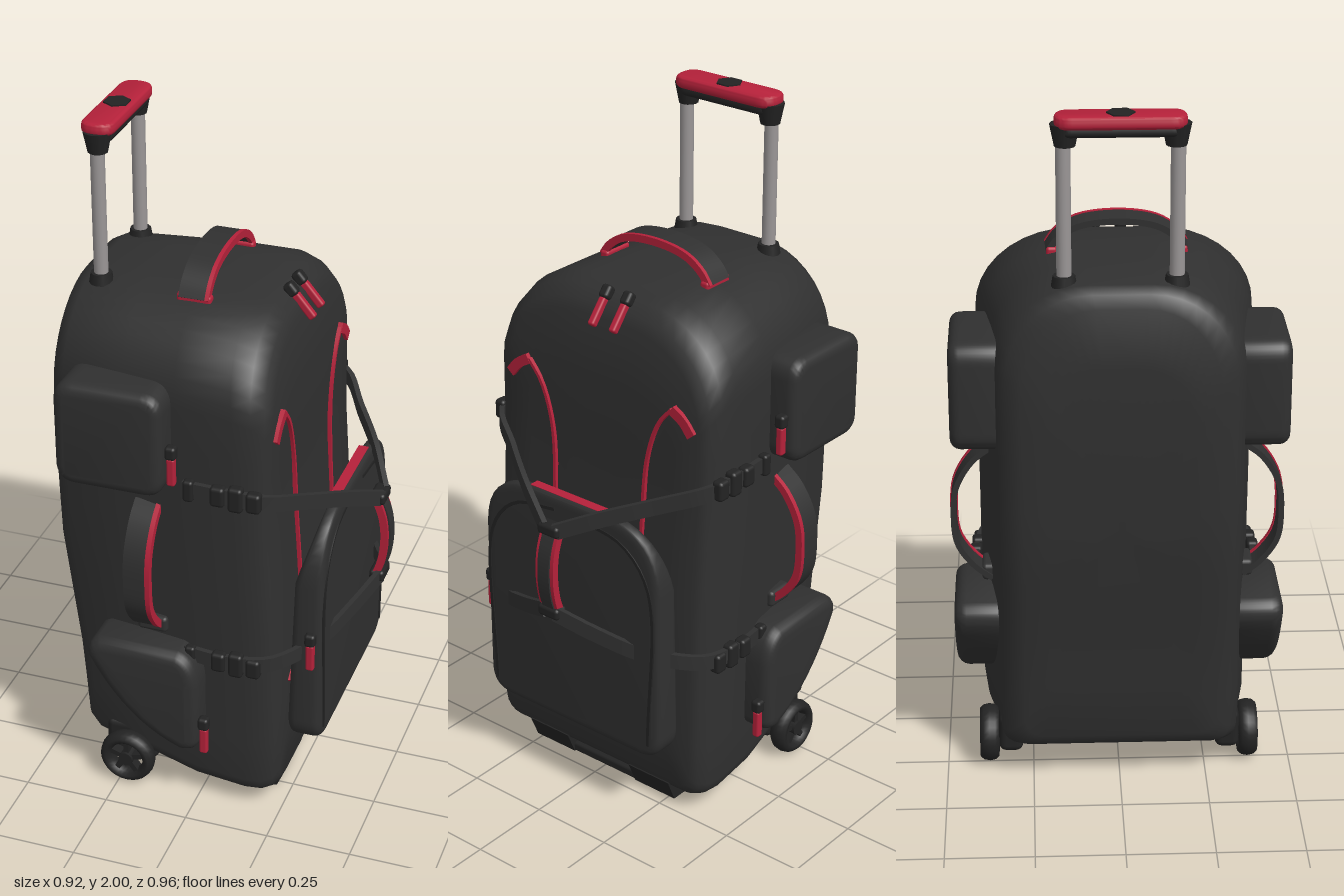
import * as THREE from 'three';
import { toCreasedNormals } from 'three/addons/utils/BufferGeometryUtils.js';
import { RoundedBoxGeometry } from 'three/addons/geometries/RoundedBoxGeometry.js';

const V = (x, y, z) => new THREE.Vector3(x, y, z);
const X = V(1, 0, 0), Y = V(0, 1, 0), Z = V(0, 0, 1);
const material = (name, color) => Object.assign(new THREE.MeshStandardMaterial({ color }), { name });

// Piecewise linear lookup in [key, value] pairs
function lerpTable(t, k) {
  let i = 1;
  while (i < t.length - 1 && k > t[i][0]) i++;
  const f = THREE.MathUtils.clamp((k - t[i - 1][0]) / (t[i][0] - t[i - 1][0]), 0, 1);
  return t[i - 1][1] + f * (t[i][1] - t[i - 1][1]);
}
const backX = y => lerpTable([[0.1, -0.38], [0.4, -0.4], [0.8, -0.45], [1.2, -0.46], [1.54, -0.445]], y);
const frontX = y => lerpTable([[0.05, 0.235], [0.2, 0.245], [0.6, 0.235], [1, 0.21], [1.3, 0.208], [1.54, 0.18]], y);

// Closed skin through equal-length loops of points, with fan caps
function loft(loops, crease) {
  const n = loops[0].length, pos = [], idx = [];
  loops.forEach(l => l.forEach(p => pos.push(p.x, p.y, p.z)));
  const mid = l => { const c = V(0, 0, 0); l.forEach(p => c.add(p)); c.divideScalar(n); pos.push(c.x, c.y, c.z); };
  mid(loops[0]);
  mid(loops[loops.length - 1]);
  const c0 = loops.length * n, last = c0 - n;
  for (let i = 0; i < n; i++) {
    const j = (i + 1) % n;
    for (let s = 0; s < last; s += n) idx.push(s + i, s + n + i, s + n + j, s + i, s + n + j, s + j);
    idx.push(c0, i, j, c0 + 1, last + j, last + i);
  }
  const g = new THREE.BufferGeometry();
  g.setAttribute('position', new THREE.Float32BufferAttribute(pos, 3));
  g.setIndex(idx);
  return toCreasedNormals(g, crease);
}

// Flat webbing along a smooth path; width runs along the up hint
function ribbon(points, width, thick, up, steps = 24) {
  const curve = new THREE.CatmullRomCurve3(points), loops = [];
  for (let i = 0; i <= steps; i++) {
    const p = curve.getPointAt(i / steps), t = curve.getTangentAt(i / steps);
    const w = t.clone().cross(up).normalize(), s = w.clone().cross(t);
    loops.push([[1, -1], [1, 1], [-1, 1], [-1, -1]].map(([a, b]) =>
      p.clone().addScaledVector(w, a * thick / 2).addScaledVector(s, b * width / 2)));
  }
  return loft(loops, 0.6);
}

// Padded plate from an outline, with rounded rims
function padded(shape, depth, bevel) {
  const g = new THREE.ExtrudeGeometry(shape, { depth: depth - 2 * bevel, bevelThickness: bevel, bevelSize: bevel, bevelOffset: -bevel, bevelSegments: 4, curveSegments: 10 });
  return toCreasedNormals(g.translate(0, 0, bevel), 0.7);
}

function roundRect(x0, y0, x1, y1, rb, rt) {
  const s = new THREE.Shape();
  s.moveTo(x0 + rb, y0).lineTo(x1 - rb, y0).quadraticCurveTo(x1, y0, x1, y0 + rb).lineTo(x1, y1 - rt);
  s.quadraticCurveTo(x1, y1, x1 - rt, y1).lineTo(x0 + rt, y1).quadraticCurveTo(x0, y1, x0, y1 - rt);
  return s.lineTo(x0, y0 + rb).quadraticCurveTo(x0, y0, x0 + rb, y0);
}

// Copy reflected in z, with the corner order turned round
function mirrorZ(geo) {
  const g = geo.clone().scale(1, 1, -1);
  const src = g.index ? Array.from(g.index.array) : Array.from({ length: g.attributes.position.count }, (_, i) => i);
  for (let i = 0; i < src.length; i += 3) [src[i + 1], src[i + 2]] = [src[i + 2], src[i + 1]];
  g.setIndex(src);
  return g;
}

// One body section: arched top corners, tight lower corners
function bodyLoop(u, w, top, bot, scale = 1) {
  const rx = Math.min(0.28, w * 0.75), ry = 0.24, rb = 0.05, half = [];
  for (let i = 0; i <= 4; i++) { const a = i * Math.PI / 8; half.push([w - rb + rb * Math.sin(a), bot + rb - rb * Math.cos(a)]); }
  for (let i = 1; i < 9; i++) half.push([w, bot + rb + (top - ry - bot - rb) * i / 9]);
  for (let i = 0; i <= 9; i++) { const a = i * Math.PI / 18; half.push([w - rx + rx * Math.cos(a), top - ry + ry * Math.sin(a)]); }
  const cy = (top + bot) / 2;
  return [...half, ...half.slice().reverse().map(([z, y]) => [-z, y])].map(([z, y]) => {
    const sy = cy + (y - cy) * scale;
    return V(THREE.MathUtils.lerp(backX(sy), frontX(sy), u), sy, z * scale);
  });
}

export function createModel() {
  const root = new THREE.Group();
  root.name = 'wheeledBag';
  const fabric = material('charcoalFabric', 0x303030), black = material('blackPlastic', 0x232323);
  const red = material('redTrim', 0xb5213a), silver = material('silverTube', 0x9a9696);
  const add = (name, geo, mat) => {
    const m = new THREE.Mesh(geo, mat);
    m.name = name;
    root.add(m);
  };
  const pair = (name, geo, mat) => { add(name + 'Left', mirrorZ(geo), mat); add(name + 'Right', geo, mat); };
  const box = (w, h, d, x, y, z) => new RoundedBoxGeometry(w, h, d, 2, Math.min(w, h, d) * 0.3).translate(x, y, z);

  // Main body, from back to front
  const B = [0, 0.27, 1.49, 0.16], F = [1, 0.35, 1.46, 0.08];
  add('body', loft([
    ...[0.25, 0.5, 0.75].map(s => bodyLoop(...B, s)), bodyLoop(...B),
    ...[[0.025, 0.312, 1.525, 0.125], [0.08, 0.336, 1.54, 0.11], [0.35, 0.358, 1.545, 0.08], [0.6, 0.383, 1.545, 0.055],
      [0.85, 0.397, 1.538, 0.05], [0.93, 0.39, 1.52, 0.05], [0.98, 0.375, 1.49, 0.06]].map(s => bodyLoop(...s)),
    bodyLoop(...F), ...[0.75, 0.5, 0.25].map(s => bodyLoop(...F, s)),
  ], 0.9), fabric);

  // Front pocket, its back leaning forward near the top
  const pocket = padded(roundRect(-0.325, 0.22, 0.325, 0.96, 0.08, 0.2), 0.1, 0.025).rotateY(Math.PI / 2).translate(0.25, 0, 0);
  const p = pocket.attributes.position;
  for (let i = 0; i < p.count; i++) {
    const k = THREE.MathUtils.smoothstep(p.getY(i), 0.66, 0.98) * 0.65;
    p.setX(i, THREE.MathUtils.lerp(p.getX(i), 0.352, k));
  }
  add('frontPocket', toCreasedNormals(pocket, 0.7), fabric);
  add('pocketTrim', new THREE.BoxGeometry(0.03, 0.008, 0.3).translate(0.325, 0.957, 0), red);
  const seam = [V(0.35, 0.27, 0.29), V(0.35, 0.78, 0.29), V(0.35, 0.89, 0.2), V(0.35, 0.92, 0.05)];
  pair('pocketSeam', ribbon(seam, 0.008, 0.01, X), black);

  // Side pockets
  pair('upperSidePocket', padded(roundRect(-0.385, 1.05, -0.07, 1.365, 0.06, 0.06), 0.16, 0.03).translate(0, 0, 0.305), fabric);
  const low = new THREE.Shape();
  low.moveTo(-0.27, 0.545).lineTo(-0.04, 0.545).quadraticCurveTo(0.02, 0.53, 0.025, 0.44).lineTo(0.025, 0.25);
  low.quadraticCurveTo(0.02, 0.21, -0.03, 0.21).quadraticCurveTo(-0.2, 0.27, -0.31, 0.48).quadraticCurveTo(-0.32, 0.53, -0.27, 0.545);
  pair('lowerSidePocket', padded(low, 0.16, 0.035).translate(0, 0, 0.31), fabric);

  // Red piping on the front face
  const onFront = list => list.map(([y, z]) => V(frontX(y) + 0.004, y, z));
  pair('shoulderPiping', ribbon(onFront([[1.215, 0.33], [1.25, 0.3], [1.275, 0.26]]), 0.014, 0.03, X, 8), red);
  pair('frontPiping', ribbon(onFront([[1.275, 0.26], [1.22, 0.215], [1.1, 0.175], [0.9, 0.162], [0.6, 0.165], [0.47, 0.19], [0.4, 0.28]]), 0.012, 0.01, X, 32), red);

  // Compression straps with buckles, meeting at the front grip
  const upper = [[-0.03, 1.07, 0.405], [0.1, 1.07, 0.41], [0.2, 1.055, 0.385], [0.28, 1.01, 0.27], [0.36, 0.965, 0.15], [0.43, 0.905, 0.02]];
  const lower = [[-0.03, 0.525, 0.405], [0.1, 0.52, 0.41], [0.22, 0.525, 0.385], [0.33, 0.555, 0.26], [0.385, 0.595, 0.14], [0.435, 0.645, 0.02]];
  for (const [name, pts, y] of [['upperStrap', upper, 1.07], ['lowerStrap', lower, 0.52]]) {
    pair(name, ribbon(pts.map(a => V(...a)), 0.045, 0.015, Y), fabric);
    pair(name + 'Loop', box(0.03, 0.065, 0.03, -0.01, y, 0.41), black);
    for (const [i, x] of [0.075, 0.125, 0.175].entries())
      pair(name + 'Buckle' + i, box(0.042, i === 1 ? 0.075 : 0.06, 0.035, x, y - i * 0.004, 0.412 - i * 0.005), black);
  }
  const grip = d => [[0.42, 0.91], [0.445, 0.84], [0.452, 0.77], [0.445, 0.7], [0.425, 0.635]].map(([x, y]) => V(x + d, y, 0));
  add('frontGrip', ribbon(grip(-0.008), 0.065, 0.022, Z), red);
  add('frontGripPad', ribbon(grip(0.004), 0.042, 0.008, Z), fabric);
  add('gripJointUpper', box(0.045, 0.035, 0.075, 0.42, 0.905, 0), black);
  add('gripJointLower', box(0.045, 0.035, 0.075, 0.425, 0.645, 0), black);

  // Side and top carry handles with a red edge
  const side = dx => [[0.98, 0.36], [0.94, 0.41], [0.86, 0.457], [0.77, 0.467], [0.68, 0.457], [0.61, 0.41], [0.57, 0.36]]
    .map(([y, z]) => V(-0.15 + dx, y, z));
  pair('sideHandle', ribbon(side(0), 0.07, 0.016, X), fabric);
  pair('sideHandleEdge', ribbon(side(0.037), 0.014, 0.022, X), red);
  pair('sideHandleBase', box(0.09, 0.05, 0.04, -0.135, 0.585, 0.37), fabric);
  const over = dx => [[1.535, 0.19], [1.57, 0.165], [1.605, 0.11], [1.62, 0], [1.605, -0.11], [1.57, -0.165], [1.535, -0.19]]
    .map(([y, z]) => V(-0.073 + dx, y, z));
  add('topHandle', ribbon(over(0), 0.08, 0.018, X), fabric);
  add('topHandleEdge', ribbon(over(0.042), 0.012, 0.022, X), red);
  pair('topHandleBase', box(0.1, 0.03, 0.03, -0.07, 1.535, 0.18), red);

  // Zip pulls: black slider and red tab, tilted about z
  const pull = (name, x, y, z, tilt, put) => {
    const place = g => g.rotateZ(tilt).translate(x, y, z);
    put(name + 'Slider', place(box(0.032, 0.04, 0.032, 0, 0.05, 0)), black);
    put(name + 'Tab', place(box(0.024, 0.085, 0.022, 0, -0.01, 0)), red);
  };
  pull('upperZip', -0.05, 1.145, 0.435, 0, pair);
  pull('lowerZip', 0.04, 0.265, 0.445, 0, pair);
  pull('frontZip', 0.32, 0.545, 0.33, 0, add);
  pull('topZipA', 0.185, 1.485, 0.02, 0.7, add);
  pull('topZipB', 0.185, 1.485, -0.055, 0.7, add);

  // Telescopic handle
  pair('handleTube', new THREE.CylinderGeometry(0.02, 0.02, 0.46, 16).translate(-0.355, 1.71, 0.15), silver);
  pair('handleJoint', new THREE.CylinderGeometry(0.04, 0.028, 0.06, 12).translate(-0.355, 1.94, 0.145), black);
  pair('tubeSocket', new THREE.CylinderGeometry(0.03, 0.035, 0.03, 12).translate(-0.355, 1.54, 0.15), black);
  const bar = (w, l, h, y) => padded(roundRect(-w, -l, w, l, w * 0.96, w * 0.96), h, 0.012).rotateX(-Math.PI / 2).translate(-0.355, y, 0);
  add('handleGripTop', bar(0.048, 0.173, 0.035, 1.961), red);
  add('handleGripUnderside', bar(0.038, 0.165, 0.035, 1.938), black);
  add('handleButton', new THREE.CylinderGeometry(0.038, 0.04, 0.03, 6).translate(-0.355, 1.985, 0), black);

  // Wheels with five spokes
  pair('tyre', new THREE.TorusGeometry(0.066, 0.018, 10, 28).scale(1, 1, 1.6).translate(-0.225, 0.084, 0.378), black);
  pair('hub', new THREE.CylinderGeometry(0.022, 0.022, 0.05, 12).rotateX(Math.PI / 2).translate(-0.225, 0.084, 0.378), black);
  for (let i = 0; i < 5; i++)
    pair('spoke' + i, new THREE.BoxGeometry(0.016, 0.06, 0.03).translate(0, 0.035, 0).rotateZ(i * Math.PI * 0.4).translate(-0.225, 0.084, 0.38), black);
  pair('wheelHousing', box(0.16, 0.12, 0.07, -0.225, 0.12, 0.315), black);

  // Standing foot under the front
  const foot = new THREE.Shape([[0.08, 0.07], [0.135, 0], [0.205, 0], [0.235, 0.07]].map(a => new THREE.Vector2(...a)));
  pair('foot', new THREE.ExtrudeGeometry(foot, { depth: 0.15, bevelEnabled: false }).translate(0, 0, 0.12), black);
  add('footBar', box(0.07, 0.03, 0.26, 0.17, 0.015, 0), black);

  return root;
}
